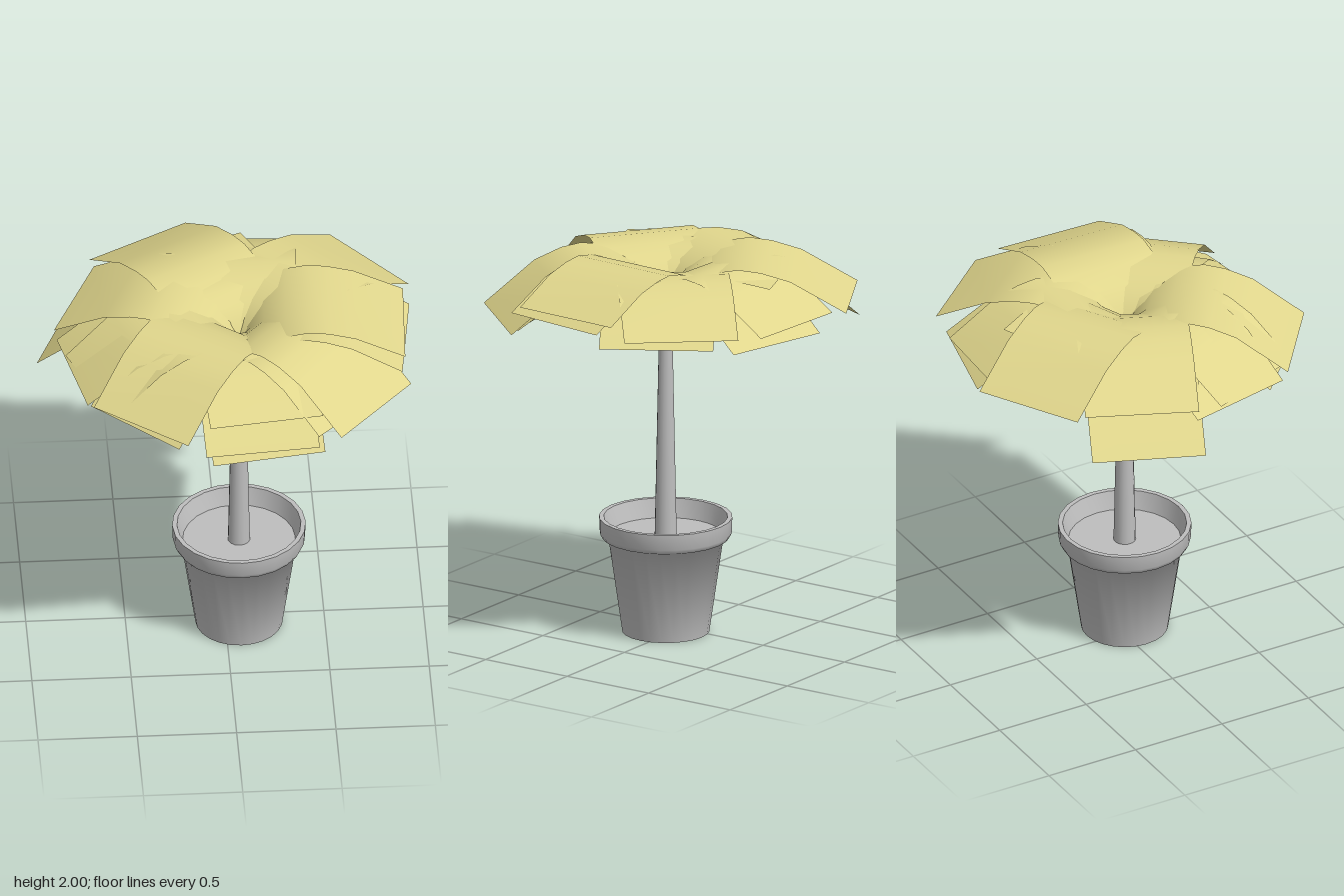
import * as THREE from 'three';
import { toCreasedNormals } from 'three/addons/utils/BufferGeometryUtils.js';

const CX = 0.07, CZ = 0.048; // axis of pot and trunk

const stone = new THREE.MeshStandardMaterial({ color: 0xbebebe, side: THREE.DoubleSide });
stone.name = 'grey';
const straw = new THREE.MeshStandardMaterial({ color: 0xe0d68c, side: THREE.DoubleSide });
straw.name = 'straw yellow';

function addMesh(parent, name, geometry, material) {
  const mesh = new THREE.Mesh(geometry, material);
  mesh.name = name;
  parent.add(mesh);
  return mesh;
}

function lathe(points, sides) {
  const profile = points.map(([r, y]) => new THREE.Vector2(r, y));
  return toCreasedNormals(new THREE.LatheGeometry(profile, sides), 1.2);
}

// A full-width strip that climbs out of the funnel, crests and droops to its tip
function leafGeometry(length, peak, tip, base) {
  const rise = peak - base, drop = peak - tip;
  const profile = [
    [0, base],
    [0.06, base + rise * 0.38],
    [0.15, base + rise * 0.7],
    [0.28, base + rise * 0.92],
    [0.42, peak],
    [0.54, peak - drop * 0.06],
    [0.7, peak - drop * 0.26],
    [1, tip],
  ];
  const geometry = new THREE.PlaneGeometry(0.575, 1, 1, profile.length - 1);
  const pos = geometry.attributes.position;
  for (let i = 0; i < pos.count; i++) {
    // Rows run from the tip back to the base
    const [r, y] = profile[profile.length - 1 - Math.floor(i / 2)];
    pos.setXYZ(i, -pos.getX(i), y, r * length);
  }
  geometry.computeVertexNormals();
  return geometry;
}

export function createModel() {
  const model = new THREE.Group();
  model.name = 'pottedPalm';
  const plant = new THREE.Group();
  plant.name = 'plant';
  plant.position.set(CX, 0, CZ);
  model.add(plant);

  // Pot: tapered body with a thick overhanging rim
  addMesh(plant, 'pot', lathe([
    [0, 0], [0.22, 0], [0.29, 0.485], [0.322, 0.497],
    [0.333, 0.52], [0.336, 0.6], [0.312, 0.6], [0.282, 0.5],
  ], 24), stone);
  const soil = addMesh(plant, 'soil', new THREE.CircleGeometry(0.285, 24), stone);
  soil.rotation.x = -Math.PI / 2;
  soil.position.y = 0.505;

  // Trunk
  const trunk = addMesh(plant, 'trunk', new THREE.CylinderGeometry(0.031, 0.056, 1.23, 14), stone);
  trunk.position.y = 0.505 + 0.615;

  // Crown: direction x, direction z, length, crest height, tip height
  const leaves = [
    [-0.49, -0.87, 0.94, 1.99, 1.78],
    [-0.36, -0.93, 0.61, 1.96, 1.92],
    [0.765, -0.643, 0.905, 1.978, 1.79],
    [0.82, -0.5, 0.75, 1.92, 1.7],
    [1, 0.04, 0.83, 2.0, 1.845],
    [0.99, 0.12, 0.84, 1.975, 1.8],
    [0.755, 0.656, 0.87, 1.98, 1.7],
    [0.7, 0.71, 0.8, 1.93, 1.7],
    [0.13, 0.99, 0.735, 1.94, 1.77],
    [0.09, 0.996, 0.81, 1.92, 1.64],
    [0.15, 0.99, 0.73, 1.9, 1.535],
    [-0.615, 0.79, 0.87, 1.98, 1.74],
    [-0.68, 0.73, 0.82, 1.94, 1.67],
    [-0.92, 0.39, 0.83, 1.97, 1.735],
    [-0.97, 0.21, 0.87, 1.96, 1.72],
    [-0.9, -0.4, 0.885, 1.98, 1.78],
    [-0.92, -0.38, 0.975, 1.92, 1.57],
    [0.06, -1, 0.84, 1.98, 1.76],
    [0.24, -0.97, 0.85, 1.94, 1.7],
  ];
  const crown = new THREE.Group();
  crown.name = 'crown';
  plant.add(crown);
  leaves.forEach(([dx, dz, length, peak, tip], i) => {
    const base = 1.725 + 0.008 * (i % 4);
    const leaf = addMesh(crown, 'leaf', leafGeometry(length, peak, tip, base), straw);
    leaf.rotation.y = Math.atan2(dx, dz);
  });

  return model;
}
